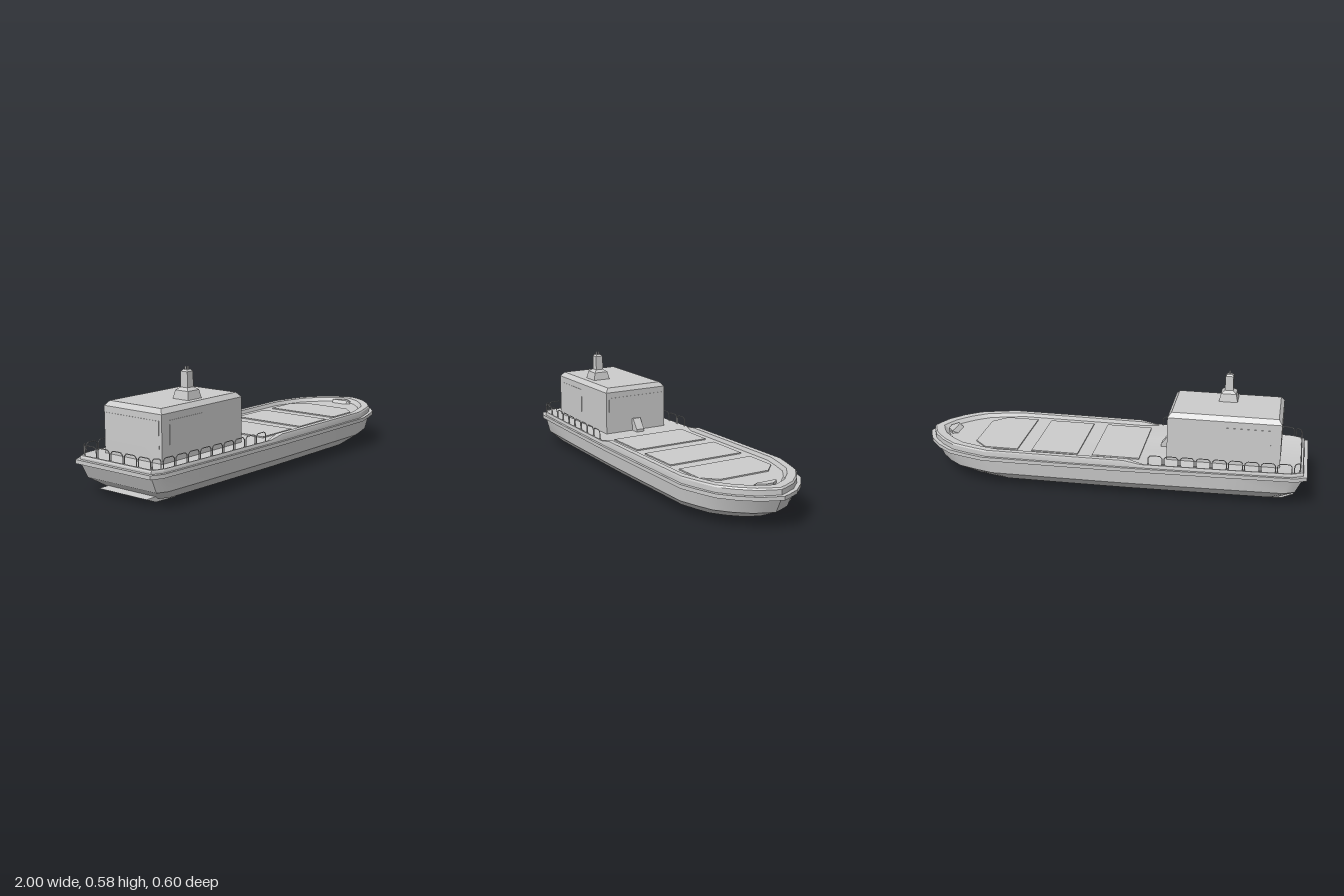
import * as THREE from 'three';
import { toCreasedNormals } from 'three/addons/utils/BufferGeometryUtils.js';

const material = new THREE.MeshStandardMaterial({ color: 0xcccccc, side: THREE.DoubleSide });
const DECK = 0.186;

function add(parent, name, geometry, x = 0, y = 0, z = 0) {
  const mesh = new THREE.Mesh(geometry, material);
  mesh.name = name;
  mesh.position.set(x, y, z);
  parent.add(mesh);
  return mesh;
}

// Skin closed rings of points (clockwise seen from above, listed bottom to top) and cap both ends
function loft(rings, crease = 0.45) {
  const n = rings[0].length, pos = [];
  const tri = (...p) => p.forEach(v => pos.push(...v));
  for (let r = 0; r < rings.length - 1; r++) {
    for (let i = 0; i < n; i++) {
      const j = (i + 1) % n, lo = rings[r], hi = rings[r + 1];
      tri(lo[i], hi[j], lo[j]);
      tri(lo[i], hi[i], hi[j]);
    }
  }
  const centre = ring => [0, 1, 2].map(k => ring.reduce((s, p) => s + p[k], 0) / n);
  const bottom = rings[0], top = rings[rings.length - 1];
  for (let i = 0; i < n; i++) {
    const j = (i + 1) % n;
    tri(centre(bottom), bottom[i], bottom[j]);
    tri(centre(top), top[j], top[i]);
  }
  const g = new THREE.BufferGeometry();
  g.setAttribute('position', new THREE.Float32BufferAttribute(pos, 3));
  return toCreasedNormals(g, crease);
}

// Rectangular rings given as [y, half x, half z]
const boxLoft = levels => loft(levels.map(([y, a, b]) =>
  [[a, y, b], [-a, y, b], [-a, y, -b], [a, y, -b]]), 0.1);

// Half plan of the rubbing strake, bow to stern
const half = [[1, 0], [0.985, 0.04], [0.955, 0.105], [0.89, 0.18], [0.815, 0.24], [0.72, 0.272], [0.62, 0.3],
  [0.2, 0.297], [-0.1, 0.293], [-0.19, 0.29], [-0.6, 0.276], [-0.945, 0.262], [-1, 0.235]];
const plan = [...half, ...half.slice(1).reverse().map(([x, z]) => [x, -z])];

// Plan stretched between a stern and a bow position; y and width may vary along the length
function hullRing(y, stern, bow, width) {
  const at = (v, x) => (typeof v === 'function' ? v(x) : v);
  return plan.map(([x, z]) => [stern + (x + 1) / 2 * (bow - stern), at(y, x), z * at(width, x)]);
}

function buildHull(parent) {
  const sheer = x => (x > -0.15 ? 0.205 : 0.189);
  const inner = x => (x > -0.15 ? 0.85 : 0.92);
  add(parent, 'hull', loft([
    hullRing(0.003, -0.84, 0.74, 0.03),
    hullRing(0.008, -0.845, 0.76, 0.25),
    hullRing(0.03, -0.87, 0.83, 0.735),
    hullRing(0.08, -0.945, 0.94, 0.925),
    hullRing(0.153, -0.98, 0.975, 0.95),
    hullRing(0.153, -1, 1, 1),
    hullRing(0.172, -1, 1, 1),
    hullRing(0.172, -0.982, 0.978, 0.955),
    hullRing(x => sheer(x) - 0.008, -0.982, 0.978, 0.955),
    hullRing(sheer, -0.978, 0.97, 0.945),
    hullRing(sheer, -0.968, 0.925, inner),
    hullRing(DECK, -0.962, 0.9, x => inner(x) - 0.02),
  ]));

  // Flat plate reaching aft beneath the stern
  const s = new THREE.Shape([[-0.94, 0.037], [-0.88, 0.012], [-0.75, 0.008], [-0.75, 0.04]]
    .map(p => new THREE.Vector2(...p)));
  add(parent, 'sternPlate', new THREE.ExtrudeGeometry(s, { depth: 0.3, bevelEnabled: false }), 0, 0, -0.15);
}

function buildCargoDeck(parent) {
  // Three low hatch covers, the foremost with cut corners
  [[-0.17, 0.07, 0], [0.145, 0.385, 0], [0.46, 0.7, 0.07]].forEach(([a, b, cut]) => {
    const w = 0.207;
    const ring = y => [[b, y, w - cut], [b - cut, y, w], [a, y, w],
      [a, y, -w], [b - cut, y, -w], [b, y, cut - w]];
    add(parent, 'hatchCover', loft([ring(DECK - 0.002), ring(0.192)], 0.1));
  });
  // Sloping locker in the bow
  const ring = (y, a, b) => [[b, y, 0.02], [b - 0.03, y, 0.06], [a, y, 0.045],
    [a, y, -0.045], [b - 0.03, y, -0.06], [b, y, -0.02]];
  add(parent, 'bowLocker', loft([ring(0.184, 0.83, 0.89), ring(0.202, 0.855, 0.892)], 0.1));
}

function buildHouse(parent) {
  const house = new THREE.Group();
  house.name = 'deckhouse';
  house.position.x = -0.585;
  parent.add(house);
  add(house, 'cabin', boxLoft([[0.184, 0.28, 0.18], [0.41, 0.28, 0.18], [0.433, 0.262, 0.16]]));

  // Window panels, just proud of the walls
  for (const s of [1, -1]) {
    add(house, 'sideWindow', new THREE.BoxGeometry(0.22, 0.125, 0.004), -0.12, 0.315, s * 0.18);
    add(house, 'endWindow', new THREE.BoxGeometry(0.004, 0.127, 0.327), s * 0.28, 0.316, 0);
  }

  // Sloping companionway against the forward wall
  const wedge = new THREE.Shape([[0.27, DECK], [0.33, DECK], [0.33, 0.2], [0.29, 0.253], [0.27, 0.253]]
    .map(p => new THREE.Vector2(...p)));
  add(house, 'companionway', new THREE.ExtrudeGeometry(wedge, { depth: 0.045, bevelEnabled: false }), 0, 0, -0.0225);

  // Funnel with two exhaust pipes
  add(house, 'funnel', boxLoft([[0.43, 0.048, 0.048], [0.473, 0.039, 0.039], [0.486, 0.021, 0.021],
    [0.56, 0.02, 0.02], [0.569, 0.012, 0.012]]), 0, 0, 0.081);
  for (const z of [0.074, 0.088]) {
    add(house, 'exhaustPipe', new THREE.CylinderGeometry(0.0045, 0.0045, 0.018, 8), 0, 0.574, z);
  }
}

// Separate arched rails between two deck points
function railRun(parent, [x0, z0], [x1, z1], count) {
  const a = new THREE.Vector3(x0, 0, z0), b = new THREE.Vector3(x1, 0, z1);
  for (let i = 0; i < count; i++) {
    const path = new THREE.CurvePath();
    const pts = [[0.06, DECK], [0.06, 0.224], [0.2, 0.236], [0.8, 0.236], [0.94, 0.224], [0.94, DECK]]
      .map(([t, y]) => a.clone().lerp(b, (i + t) / count).setY(y));
    for (let k = 0; k < 5; k++) path.add(new THREE.LineCurve3(pts[k], pts[k + 1]));
    add(parent, 'railArch', new THREE.TubeGeometry(path, 24, 0.0025, 5));
  }
}

function buildRails(parent) {
  const rails = new THREE.Group();
  rails.name = 'sternRails';
  parent.add(rails);
  for (const s of [1, -1]) {
    railRun(rails, [-0.22, s * 0.265], [-0.93, s * 0.243], 9);
    railRun(rails, [-0.935, s * 0.242], [-0.966, s * 0.212], 1);
  }
  railRun(rails, [-0.966, 0.212], [-0.966, -0.212], 5);
}

export function createModel() {
  const ship = new THREE.Group();
  ship.name = 'cargoShip';
  buildHull(ship);
  buildCargoDeck(ship);
  buildHouse(ship);
  buildRails(ship);
  return ship;
}
